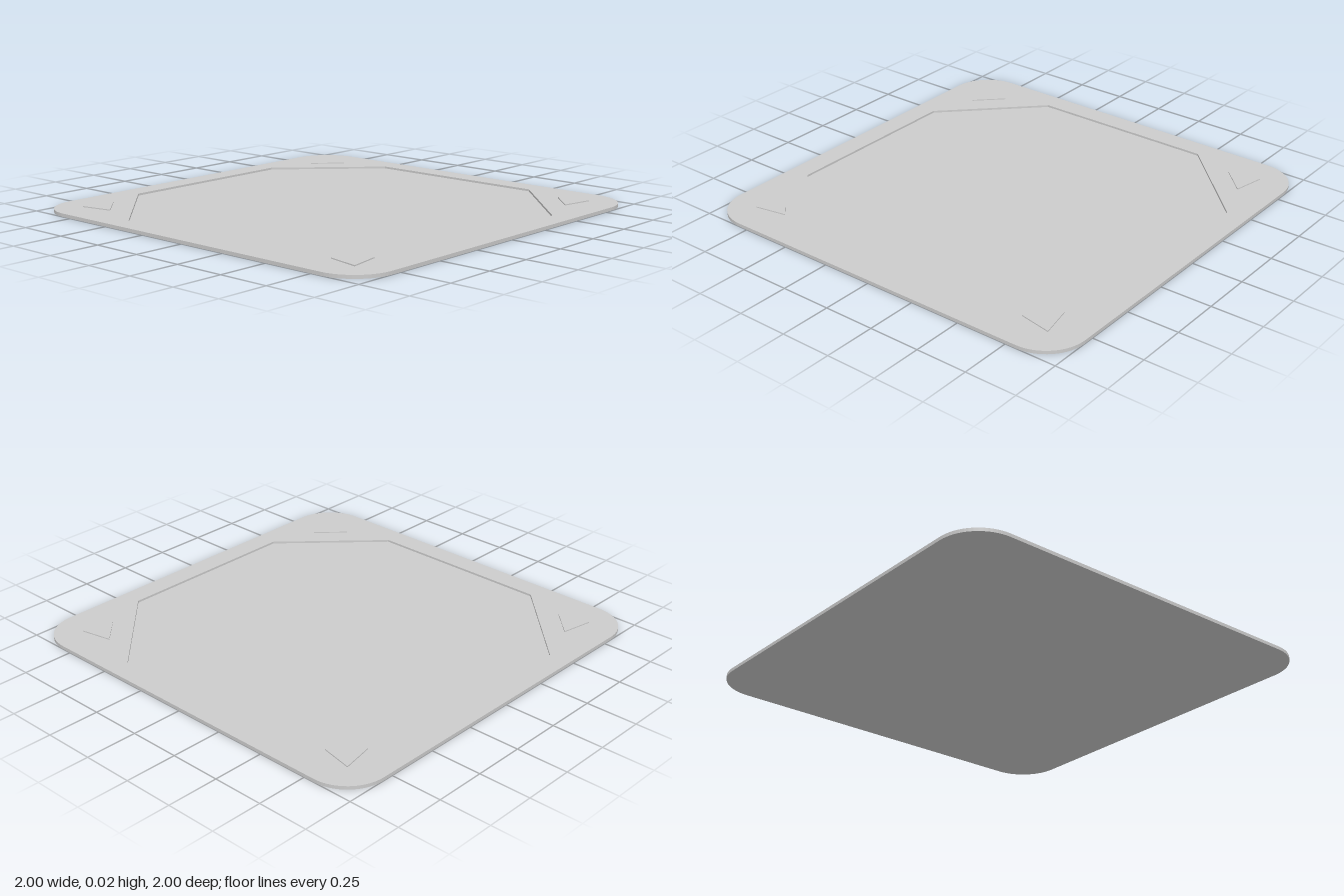
import * as THREE from 'three';

const RIM = 0.016;    // height of the board's rim
const FLOOR = 0.006;  // height of the recessed floor
const TOP = 0.021;    // height of the corner markers

const material = new THREE.MeshStandardMaterial({ color: 0xcccccc, flatShading: true });

// Extrudes a plan outline upwards from y0 to y1
function slab(name, shape, y0, y1) {
  const geometry = new THREE.ExtrudeGeometry(shape, { depth: y1 - y0, bevelEnabled: false, curveSegments: 8 });
  geometry.rotateX(-Math.PI / 2).translate(0, y0, 0);
  const mesh = new THREE.Mesh(geometry, material);
  mesh.name = name;
  return mesh;
}

// Square outline with rounded corners
function roundedSquare(half, r) {
  const s = new THREE.Shape();
  const c = half - r;
  for (let i = 0; i < 4; i++) {
    const a = i * Math.PI / 2;
    const sx = i === 0 || i === 3 ? 1 : -1;
    const sy = i < 2 ? 1 : -1;
    s.absarc(sx * c, sy * c, r, a, a + Math.PI / 2, false);
  }
  s.closePath();
  return s;
}

// Octagon with four long sides and four cut corners
function octagon(a, b) {
  return [[a, b], [b, a], [-b, a], [-a, b], [-a, -b], [-b, -a], [b, -a], [a, -b]]
    .map(([x, y]) => new THREE.Vector2(x, y));
}

export function createModel() {
  const group = new THREE.Group();
  group.name = 'tray';

  // Base plate forms the floor of the recess
  group.add(slab('base', roundedSquare(1, 0.2), 0, FLOOR));

  // Raised rim around the octagonal recess
  const rim = roundedSquare(1, 0.2);
  rim.holes.push(new THREE.Path(octagon(0.895, 0.465)));
  group.add(slab('rim', rim, FLOOR, RIM));

  // Raised triangular marker in each corner
  for (const sx of [1, -1]) {
    for (const sy of [1, -1]) {
      const points = [[0.845, 0.847], [0.69, 0.815], [0.815, 0.69]]
        .map(([x, y]) => new THREE.Vector2(sx * x, sy * y));
      group.add(slab('cornerMarker', new THREE.Shape(points), RIM, TOP));
    }
  }
  return group;
}
